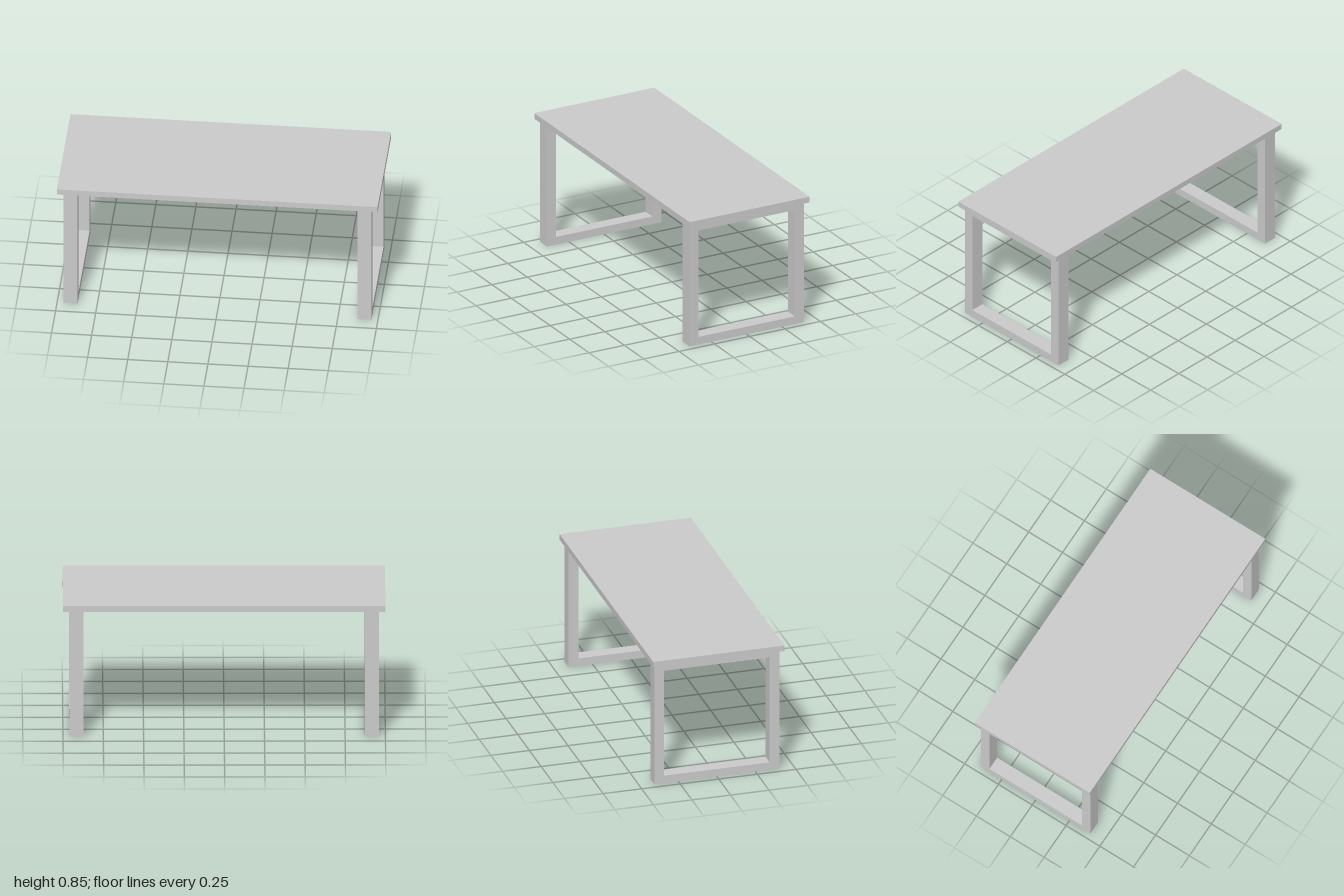
import * as THREE from 'three';

const material = new THREE.MeshStandardMaterial({ color: 0xcccccc, flatShading: true });

// Closed rectangular loop in the z-y plane, extruded along x
function makeLegFrame(width) {
  const rect = (Type, z0, y0, z1, y1) => new Type([
    new THREE.Vector2(z0, y0), new THREE.Vector2(z1, y0),
    new THREE.Vector2(z1, y1), new THREE.Vector2(z0, y1),
  ]);
  const outline = rect(THREE.Shape, -0.405, 0, 0.405, 0.816);
  outline.holes.push(rect(THREE.Path, -0.342, 0.051, 0.342, 0.766));
  const geometry = new THREE.ExtrudeGeometry(outline, { depth: width, bevelEnabled: false });
  geometry.translate(0, 0, -width / 2);
  geometry.rotateY(Math.PI / 2);
  return geometry;
}

export function createModel() {
  const table = new THREE.Group();
  table.name = 'table';

  // Flat rectangular top
  const top = new THREE.Mesh(new THREE.BoxGeometry(2, 0.038, 0.85), material);
  top.name = 'tableTop';
  top.position.y = 0.835;
  table.add(top);

  // One loop frame near each end
  const frameGeometry = makeLegFrame(0.088);
  for (const [name, side] of [['leftLegFrame', 1], ['rightLegFrame', -1]]) {
    const frame = new THREE.Mesh(frameGeometry, material);
    frame.name = name;
    frame.position.x = side * 0.916;
    table.add(frame);
  }

  return table;
}
